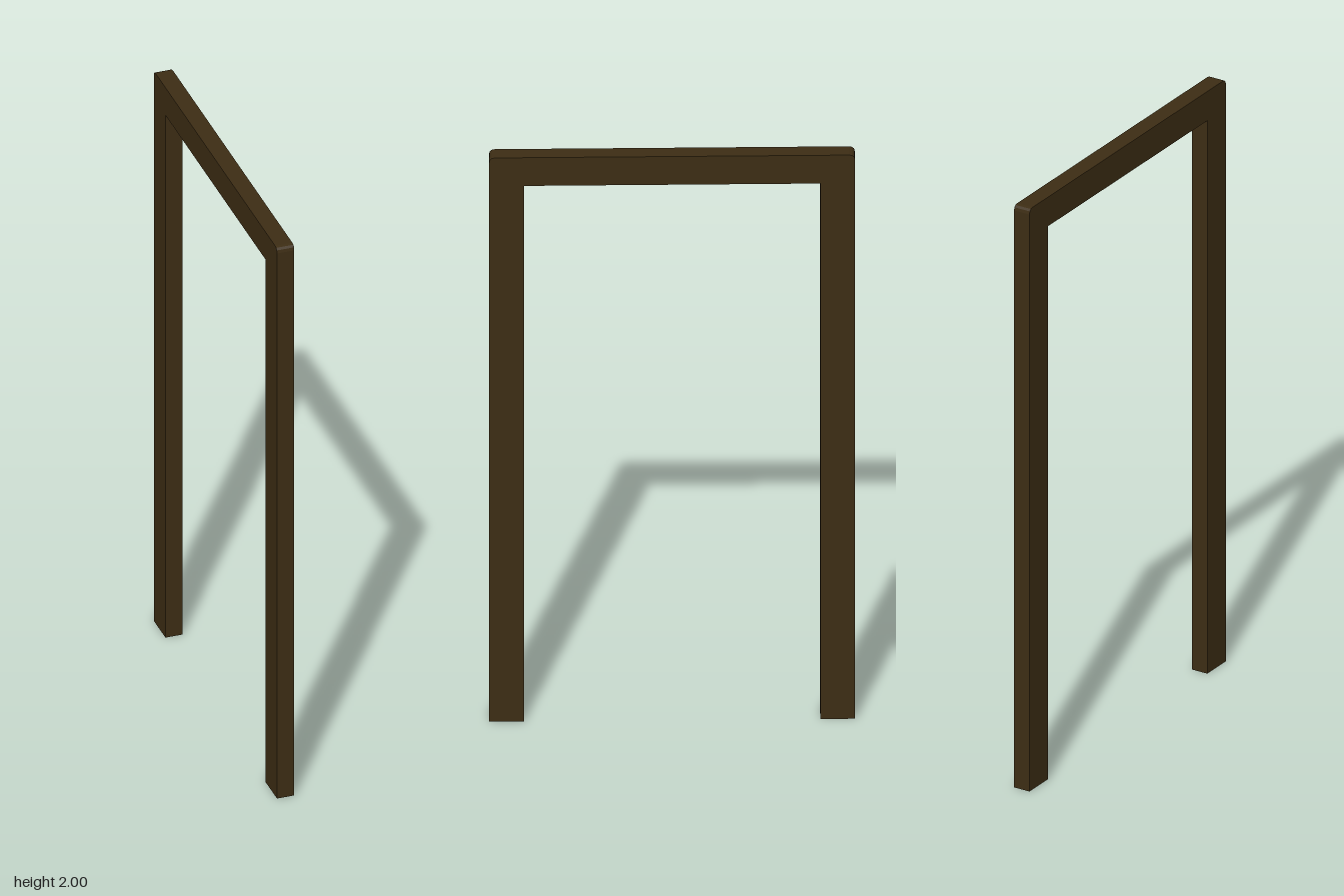
import * as THREE from 'three';

const HALF_SPAN = 0.57;   // outer half width along z
const INNER = 0.462;      // half width of the opening
const HEIGHT = 2;
const HEAD = 1.9;         // underside of the top beam
const DEPTH = 0.057;      // thickness along x
const ROUND = 0.018;      // rounding of the outer top corners

export function createModel() {
  const group = new THREE.Group();
  group.name = 'doorway';

  // Two posts and a top beam as one continuous outline, open at the floor
  const outline = new THREE.Shape();
  outline.moveTo(-HALF_SPAN, 0);
  outline.lineTo(-INNER, 0);
  outline.lineTo(-INNER, HEAD);
  outline.lineTo(INNER, HEAD);
  outline.lineTo(INNER, 0);
  outline.lineTo(HALF_SPAN, 0);
  outline.lineTo(HALF_SPAN, HEIGHT - ROUND);
  outline.quadraticCurveTo(HALF_SPAN, HEIGHT, HALF_SPAN - ROUND, HEIGHT);
  outline.lineTo(-HALF_SPAN + ROUND, HEIGHT);
  outline.quadraticCurveTo(-HALF_SPAN, HEIGHT, -HALF_SPAN, HEIGHT - ROUND);
  outline.closePath();

  const geometry = new THREE.ExtrudeGeometry(outline, {
    depth: DEPTH, bevelEnabled: false, curveSegments: 3,
  });
  geometry.translate(0, 0, -DEPTH / 2);
  geometry.rotateY(Math.PI / 2); // the outline spans z, the thickness runs along x

  const wood = new THREE.MeshStandardMaterial({ color: 0x3d2d14 });
  const frame = new THREE.Mesh(geometry, wood);
  frame.name = 'doorFrame';
  group.add(frame);
  return group;
}
